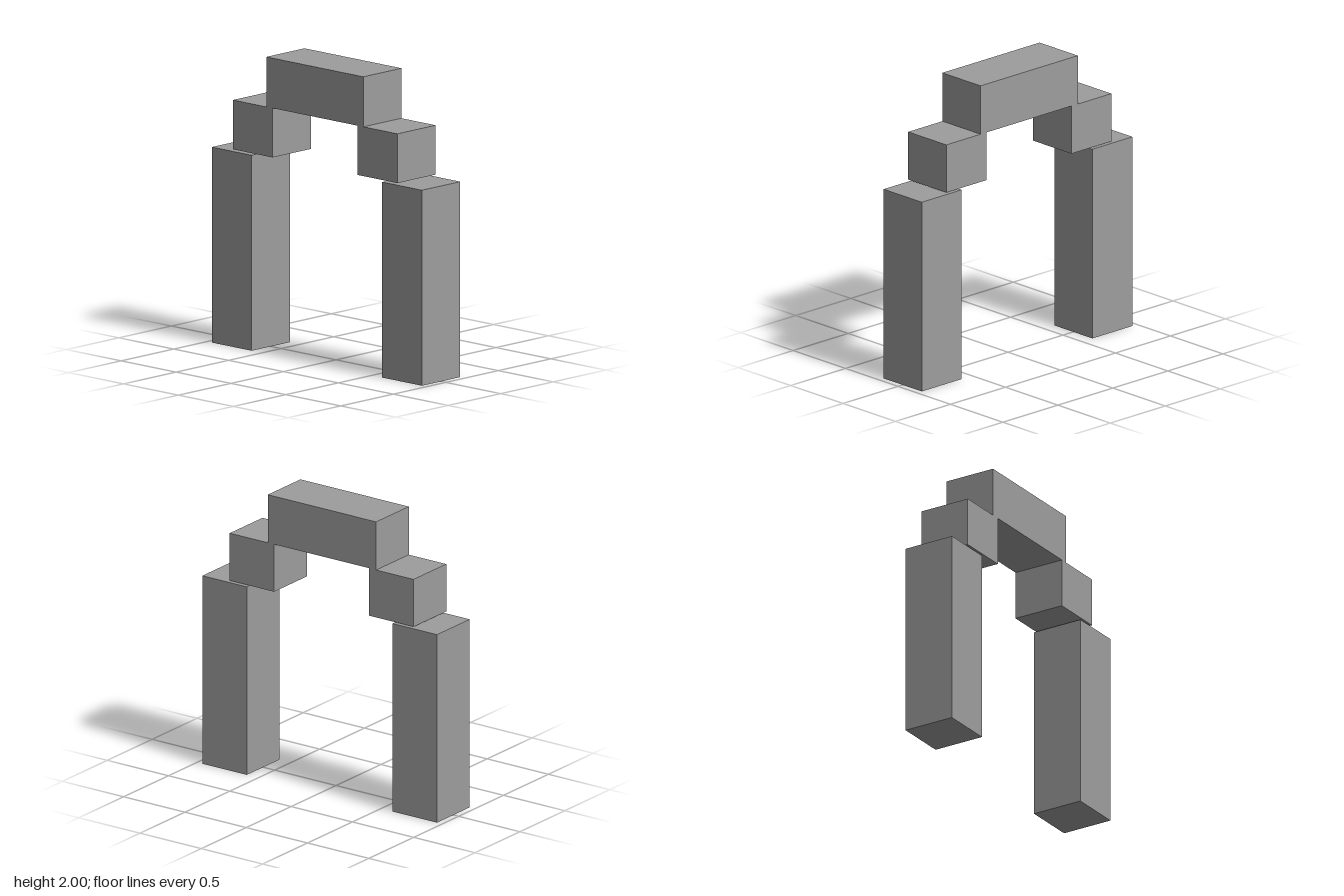
import * as THREE from 'three';

const WIDTH = 0.364;

export function createModel() {
  const group = new THREE.Group();
  const material = new THREE.MeshStandardMaterial({ color: 0x9d9d9d, flatShading: true });

  // One stone block spanning the given heights and depths
  function addBlock(name, y0, y1, z0, z1) {
    const block = new THREE.Mesh(new THREE.BoxGeometry(WIDTH, y1 - y0, z1 - z0), material);
    block.name = name;
    block.position.set(0, (y0 + y1) / 2, (z0 + z1) / 2);
    group.add(block);
  }

  // Upright pillars
  addBlock('frontPillar', 0, 1.317, 0.594, 0.957);
  addBlock('backPillar', 0, 1.317, -0.957, -0.594);

  // Stepped blocks, just above the pillars
  addBlock('frontStepBlock', 1.331, 1.663, 0.371, 0.734);
  addBlock('backStepBlock', 1.331, 1.663, -0.766, -0.403);

  // Lintel resting across the stepped blocks
  addBlock('lintel', 1.663, 2, -0.461, 0.423);

  return group;
}
